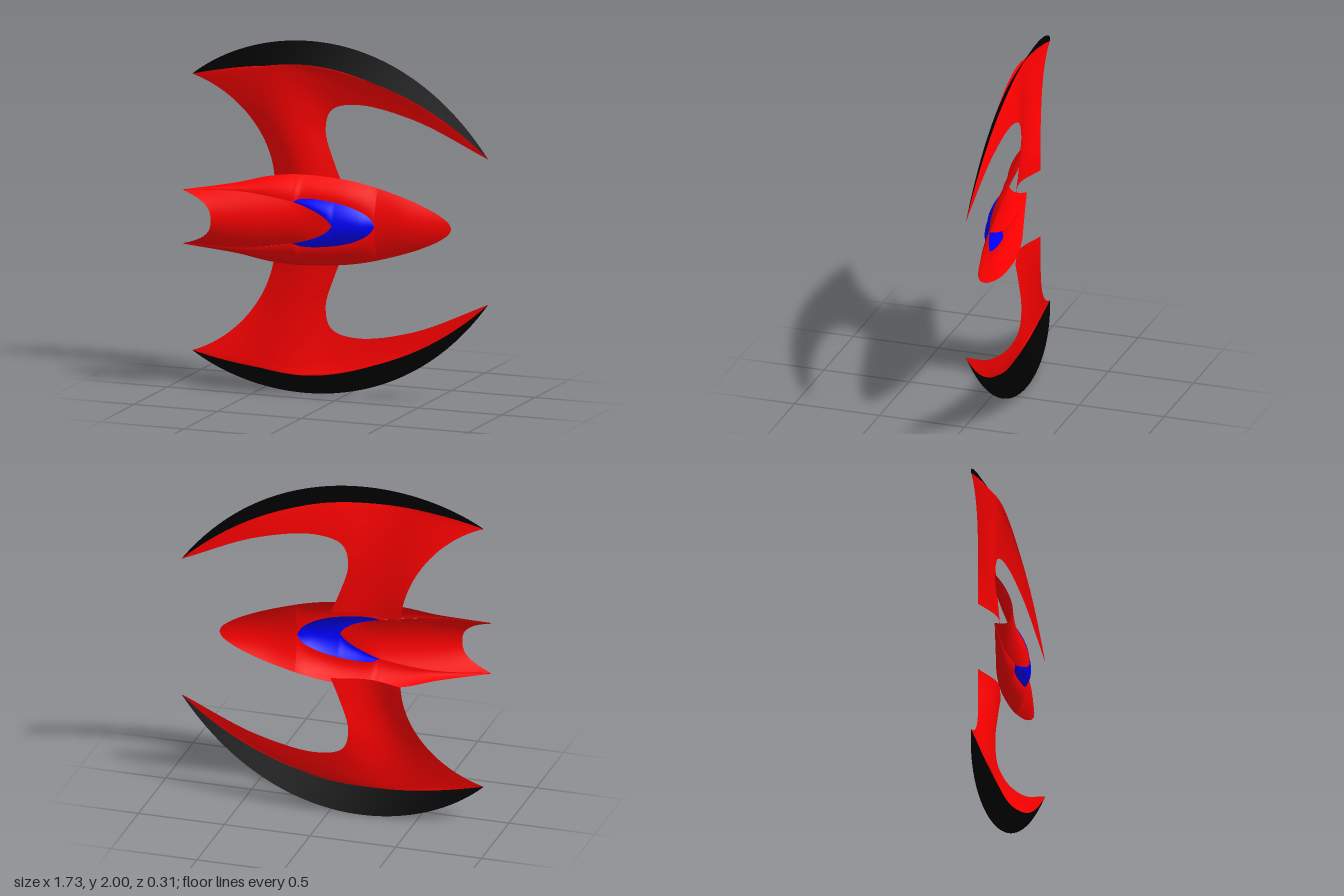
import * as THREE from 'three';

const paint = (color) => new THREE.MeshStandardMaterial({ color, side: THREE.DoubleSide });
const red = paint(0xff0000), blue = paint(0x0000ff), black = paint(0x000000);
const lerp = THREE.MathUtils.lerp;

// Thin curved sheet from a rule f(u, v) -> [x, y, z]
function sheet(name, material, nu, nv, f) {
  const g = new THREE.PlaneGeometry(1, 1, nu, nv);
  const p = g.attributes.position;
  for (let j = 0, k = 0; j <= nv; j++)
    for (let i = 0; i <= nu; i++, k++) p.setXYZ(k, ...f(i / nu, j / nv));
  g.computeVertexNormals();
  const mesh = new THREE.Mesh(g, material);
  mesh.name = name;
  return mesh;
}

// Smooth function of x through the given [x, value] points
function through(pts) {
  const slope = (i) => {
    const a = pts[Math.max(i - 1, 0)], b = pts[Math.min(i + 1, pts.length - 1)];
    return (b[1] - a[1]) / (b[0] - a[0]);
  };
  return (x) => {
    let i = 0;
    while (i < pts.length - 2 && x > pts[i + 1][0]) i++;
    const [x0, y0] = pts[i], [x1, y1] = pts[i + 1], h = x1 - x0;
    const t = THREE.MathUtils.clamp((x - x0) / h, 0, 1), t2 = t * t, t3 = t2 * t;
    return y0 * (2 * t3 - 3 * t2 + 1) + y1 * (3 * t2 - 2 * t3)
      + h * slope(i) * (t3 - 2 * t2 + t) + h * slope(i + 1) * (t3 - t2);
  };
}

const vec = (p) => new THREE.Vector3(...p);
const spline = (pts) => new THREE.CatmullRomCurve3(pts.map(vec));
const bezier = (...pts) => new THREE.CubicBezierCurve3(...pts.map(vec));

// Wing boundary curves, y measured from the hull axis
const tailTip = [-0.863, 0.785, -0.03], noseTip = [0.866, 0.412, -0.135];
const rootRear = [-0.41, 0.2, -0.13], rootFront = [0, 0.2, -0.125];
const seam = bezier(tailTip, [-0.5, 0.875, -0.033], [0.22, 1.015, -0.085], noseTip);
const rim = bezier(tailTip, [-0.5, 1.09, -0.17], [0.32, 1.155, -0.17], noseTip);
const rearEdge = bezier(rootRear, [-0.42, 0.45, -0.13], [-0.6, 0.7, -0.06], tailTip);
const frontEdge = spline([rootFront, [-0.05, 0.32, -0.125], [-0.103, 0.5, -0.125],
  [-0.07, 0.62, -0.125], [0.08, 0.663, -0.125], [0.43, 0.6, -0.128], noseTip]);
const root = spline([rootRear, [-0.21, 0.2, -0.08], rootFront]);

// Blend of the four boundary curves, bowed forward towards the seam
function wingPoint(u, v) {
  const b = root.getPoint(u), t = seam.getPoint(u);
  const l = rearEdge.getPoint(v), r = frontEdge.getPoint(v);
  const p = ['x', 'y', 'z'].map((c, k) => lerp(b[c], t[c], v) + lerp(l[c], r[c], u)
    - lerp(lerp(rootRear[k], rootFront[k], u), lerp(tailTip[k], noseTip[k], u), v));
  p[2] += 0.14 * v * v * (1 - v) * Math.sin(Math.PI * u);
  return p;
}

// Hull lines: half-widths (W edge, K canopy outside, I tongue) and their depths
const W = through([[-0.86, 0.155], [-0.73, 0.175], [-0.57, 0.202], [-0.4, 0.242], [-0.23, 0.258],
  [0, 0.245], [0.17, 0.217], [0.4, 0.15], [0.54, 0.092], [0.61, 0.05], [0.636, 0.025], [0.646, 0]]);
const canopy = through([[-0.24, 0.118], [-0.2, 0.134], [-0.1, 0.135], [0.05, 0.112],
  [0.15, 0.075], [0.2, 0.038], [0.22, 0]]);
const I = through([[-0.86, 0.15], [-0.55, 0.16], [-0.24, 0.118], [-0.1, 0.075], [-0.03, 0.035], [0, 0]]);
const K = (x) => (x < -0.24 ? I(x) : canopy(x));
const zW = through([[-0.86, 0.105], [-0.73, 0.068], [-0.57, 0.022], [-0.4, -0.025], [-0.2, -0.06],
  [0, -0.08], [0.3, -0.105], [0.646, -0.13]]);
const zK = through([[-0.86, 0.105], [-0.5, 0.055], [-0.24, 0.032], [-0.2, 0.015], [-0.1, 0.002],
  [0.05, -0.012], [0.15, -0.028], [0.22, -0.045], [0.4, -0.07], [0.646, -0.13]]);
const zI = through([[-0.86, 0.105], [-0.5, 0.055], [-0.24, 0.032], [-0.1, 0.044], [0, 0.043],
  [0.14, 0.006], [0.22, -0.045]]);
const zC = through([[-0.86, 0.21], [-0.68, 0.155], [-0.4, 0.088], [-0.2, 0.057], [0, 0.043]]);

// Arched strip between two lines of the hull
const strip = (x, s, y0, y1, z0, z1, side) =>
  [x, side * lerp(y0, y1, s), lerp(z0, z1, s * s)];

export function createModel() {
  const model = new THREE.Group();
  model.name = 'spacecraft';
  const ship = new THREE.Group();
  ship.name = 'hullAndWings';
  ship.position.y = 1;
  model.add(ship);

  // Raised centre of the tail with its rounded notch, running to the canopy
  ship.add(sheet('tailSpine', red, 120, 24, (u, v) => {
    const s = v * 2 - 1, a = Math.abs(s);
    const x = lerp(-0.68 - 0.18 * a ** 2.6, 0, u);
    return strip(x, s, 0, I(x), zC(x), zI(x), 1);
  }));

  // Pointed nose
  ship.add(sheet('nose', red, 40, 24, (u, v) => {
    const x = lerp(0.22, 0.646, Math.sin(u * Math.PI / 2));
    return strip(x, v * 2 - 1, 0, W(x), zK(x), zW(x), 1);
  }));

  for (const side of [1, -1]) {
    const tag = side > 0 ? 'upper' : 'lower';
    // Sloping hull side
    ship.add(sheet(tag + 'Flank', red, 150, 10, (u, v) => {
      const x = lerp(-0.86, 0.22, u);
      return strip(x, v, K(x), W(x), zK(x), zW(x), side);
    }));
    // Half of the crescent canopy
    ship.add(sheet(tag + 'Canopy', blue, 64, 10, (u, v) => {
      const x = lerp(-0.235, 0.22, u), inner = x < 0 ? I(x) : 0;
      return strip(x, v, inner, K(x), zI(x), zK(x), side);
    }));
    // Wing and its dark outer band
    ship.add(sheet(tag + 'Wing', red, 64, 40, (u, v) => {
      const [x, y, z] = wingPoint(u, v);
      return [x, side * y, z];
    }));
    ship.add(sheet(tag + 'WingBand', black, 64, 4, (u, v) => {
      const p = seam.getPoint(u).lerp(rim.getPoint(u), v);
      return [p.x, side * p.y, p.z];
    }));
  }
  return model;
}
